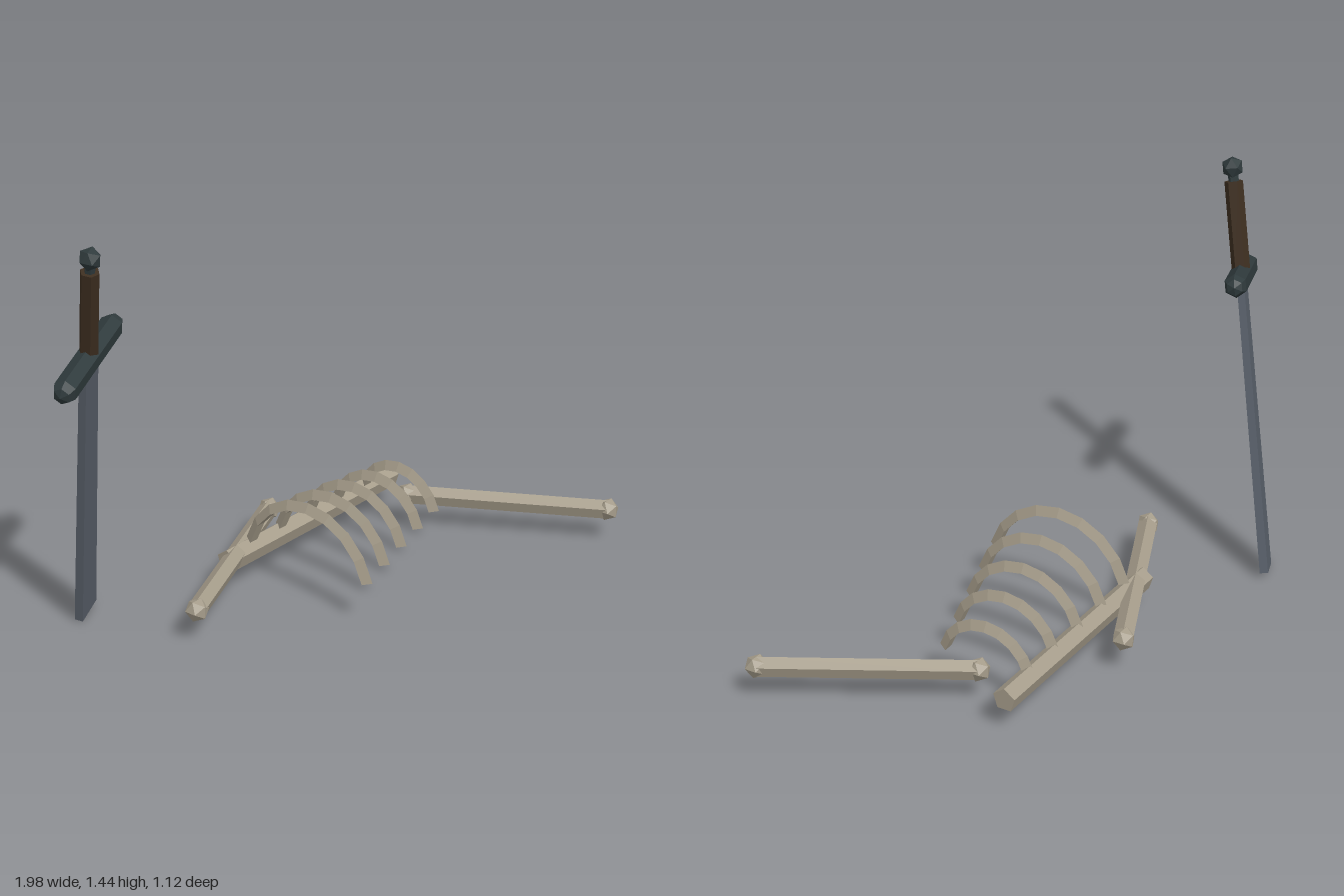
import * as THREE from 'three';
import { mergeGeometries } from 'three/addons/utils/BufferGeometryUtils.js';

const material = (name, color) => {
  const m = new THREE.MeshStandardMaterial({ color, flatShading: true });
  m.name = name;
  return m;
};

export function createModel() {
  const bone = material('bone', 0xa59c8a);
  const steel = material('steel', 0x585f69);
  const iron = material('dark iron', 0x2f3a3c);
  const leather = material('brown leather', 0x3d2e20);

  const model = new THREE.Group();
  model.name = 'swordAndBones';

  const add = (parent, name, geometry, mat, x = 0, y = 0, z = 0) => {
    const mesh = new THREE.Mesh(geometry, mat);
    mesh.name = name;
    mesh.position.set(x, y, z);
    parent.add(mesh);
    return mesh;
  };

  // Five-sided shaft lying flat between two points, ridge upwards
  function shaft(parent, name, [x1, z1], [x2, z2], y, r) {
    const length = Math.hypot(x2 - x1, z2 - z1);
    const geometry = new THREE.CylinderGeometry(r, r, length, 5).rotateX(-Math.PI / 2);
    const mesh = add(parent, name, geometry, bone, (x1 + x2) / 2, y, (z1 + z2) / 2);
    mesh.rotation.y = Math.atan2(x2 - x1, z2 - z1);
  }

  // Limb bone: shaft with a faceted knob on each end
  function limb(name, a, b) {
    const group = new THREE.Group();
    group.name = name;
    shaft(group, 'limbShaft', a, b, 0.12, 0.035);
    for (const [x, z] of [a, b]) {
      add(group, 'limbKnob', new THREE.IcosahedronGeometry(0.041, 0), bone, x, 0.12, z);
    }
    model.add(group);
  }
  limb('backLimb', [-0.535, -0.1], [0.195, -0.413]);
  limb('frontLimb', [0.603, -0.106], [0.958, 0.523]);

  shaft(model, 'spine', [-0.2, -0.266], [0.707, -0.266], 0.112, 0.042);

  // Ribs: triangular arches that shrink along the spine
  const tube = 0.0217, start = Math.PI / 12, arc = Math.PI - 2 * start;
  for (let i = 0; i < 5; i++) {
    const R = 0.266 - 0.025 * i;
    const geometry = mergeGeometries([
      new THREE.TorusGeometry(R, tube, 3, 8, arc),
      new THREE.CircleGeometry(tube, 3).rotateX(Math.PI / 2).translate(R, 0, 0),
      new THREE.CircleGeometry(tube, 3).rotateX(-Math.PI / 2).translate(R, 0, 0).rotateZ(arc),
    ]).rotateZ(start).rotateY(-Math.PI / 2);
    add(model, 'rib', geometry, bone, -0.077 + 0.1555 * i, 0.082, -0.003 - 0.0243 * i);
  }

  // Sword: built upright from its tip, then tilted
  const sword = new THREE.Group();
  sword.name = 'sword';
  const up = new THREE.Vector3(-0.14, 0.97, 0.199).normalize();
  const side = new THREE.Vector3(0.916, 0.2, -0.347);
  const front = side.clone().cross(up).normalize();
  side.crossVectors(up, front);
  sword.quaternion.setFromRotationMatrix(new THREE.Matrix4().makeBasis(side, up, front));
  sword.position.set(-0.63, 0.015, -0.525);

  const blade = new THREE.CylinderGeometry(0.05 * Math.SQRT2, 0.059 * Math.SQRT2, 1.05, 4)
    .rotateY(Math.PI / 4).scale(1, 1, 0.25);
  add(sword, 'blade', blade, steel, 0, 0.525, 0);
  add(sword, 'guard', new THREE.CapsuleGeometry(0.041, 0.38, 2, 6).rotateZ(Math.PI / 2), iron, 0, 1.06, 0);
  add(sword, 'grip', new THREE.CylinderGeometry(0.032, 0.032, 0.32, 6), leather, 0, 1.228, 0);
  add(sword, 'pommelNeck', new THREE.CylinderGeometry(0.018, 0.018, 0.04, 6), iron, 0, 1.397, 0);
  add(sword, 'pommel', new THREE.IcosahedronGeometry(0.039, 0), iron, 0, 1.436, 0);
  model.add(sword);

  return model;
}
